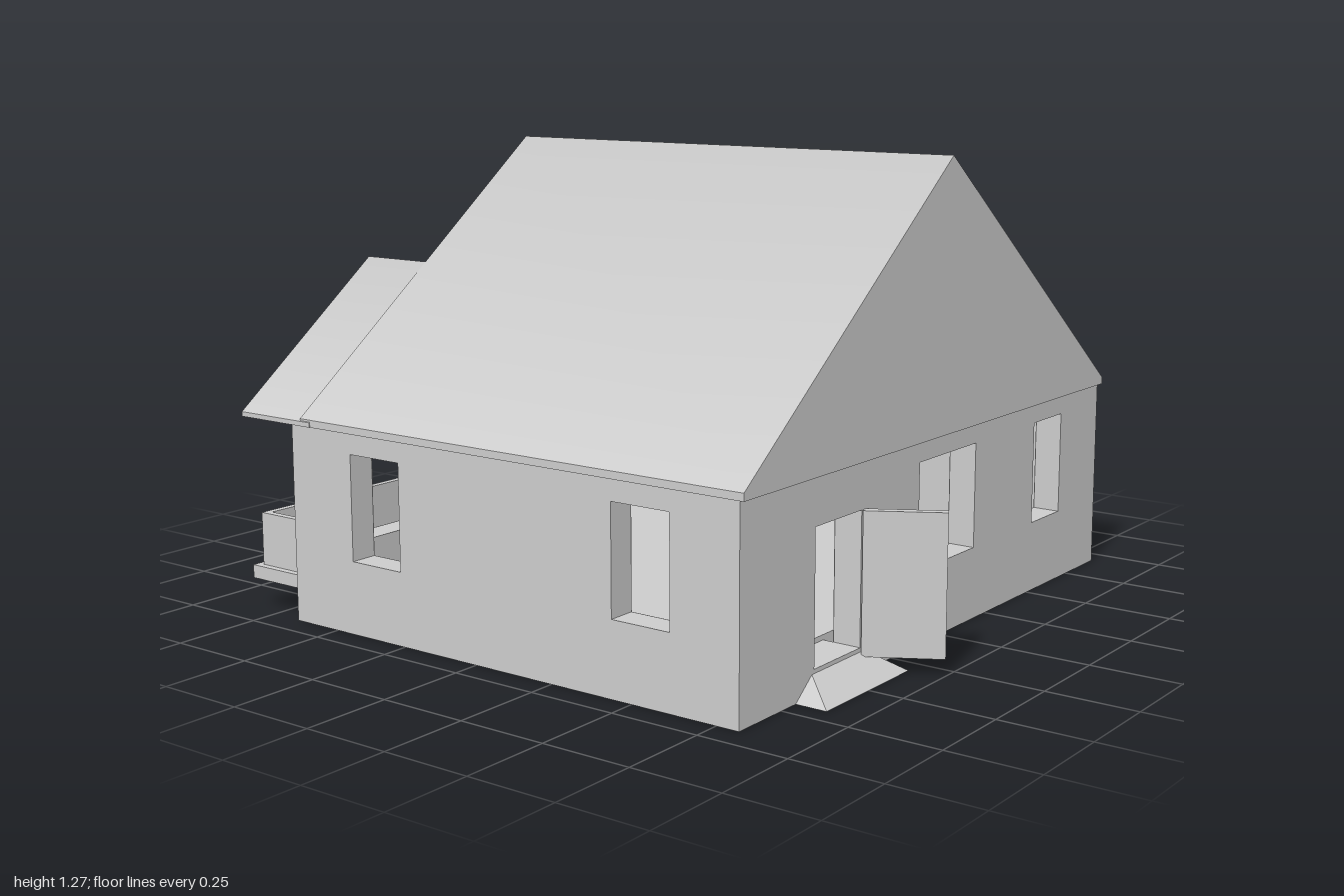
import * as THREE from 'three';
import { ConvexGeometry } from 'three/addons/geometries/ConvexGeometry.js';

const mat = new THREE.MeshStandardMaterial({ color: 0xcccccc, flatShading: true });
const smooth = new THREE.MeshStandardMaterial({ color: 0xcccccc });
const thin = new THREE.MeshStandardMaterial({ color: 0xcccccc, flatShading: true, side: THREE.DoubleSide });

const WALL_H = 0.545, T = 0.08; // wall height and thickness
const X = 0.925, FRONT = 0.815, BACK = -0.653;

function add(parent, name, geometry, material = mat) {
  const mesh = new THREE.Mesh(geometry, material);
  mesh.name = name;
  parent.add(mesh);
  return mesh;
}

// Box given by its extents
function box(parent, name, x0, x1, y0, y1, z0, z1) {
  const mesh = add(parent, name, new THREE.BoxGeometry(x1 - x0, y1 - y0, z1 - z0));
  mesh.position.set((x0 + x1) / 2, (y0 + y1) / 2, (z0 + z1) / 2);
}

const hull = (points) => new ConvexGeometry(points.map((p) => new THREE.Vector3(...p)));

// Open shell joining rows of points
function loft(rows) {
  const n = rows[0].length, index = [];
  for (let r = 0; r < rows.length - 1; r++) {
    for (let i = 0; i < n - 1; i++) {
      const a = r * n + i, b = a + n;
      index.push(a, b, a + 1, a + 1, b, b + 1);
    }
  }
  const g = new THREE.BufferGeometry();
  g.setAttribute('position', new THREE.Float32BufferAttribute(rows.flat(2), 3));
  g.setIndex(index);
  g.computeVertexNormals();
  return g;
}

// Cavity wall: two skins with openings, full-height jambs, sills and lintels.
// Local z = 0 is the outer face; each opening is [u0, u1, y0, y1], y0 = 0 for a door.
function wall(parent, name, length, openings) {
  const g = new THREE.Group();
  g.name = name;
  const skin = (half, z, label) => {
    const s = new THREE.Shape();
    s.moveTo(-half, 0);
    for (const [a, b, c, d] of openings) {
      if (c === 0) {
        s.lineTo(a, 0).lineTo(a, d).lineTo(b, d).lineTo(b, 0);
      } else {
        const h = new THREE.Path();
        h.moveTo(a, c).lineTo(a, d).lineTo(b, d).lineTo(b, c).closePath();
        s.holes.push(h);
      }
    }
    s.lineTo(half, 0).lineTo(half, WALL_H).lineTo(-half, WALL_H).closePath();
    add(g, label, new THREE.ShapeGeometry(s), thin).position.z = z;
  };
  skin(length / 2, 0, 'outerSkin');
  skin(length / 2 - T, -T, 'innerSkin');
  const e = 0.006, z0 = -T + 0.001, z1 = -0.001;
  for (const [a, b, c, d] of openings) {
    box(g, 'jamb', a - e, a, 0, WALL_H, z0, z1);
    box(g, 'jamb', b, b + e, 0, WALL_H, z0, z1);
    if (c > 0) box(g, 'sill', a, b, c - e, c, z0, z1);
    box(g, 'lintel', a, b, d, d + e, z0, z1);
  }
  parent.add(g);
  return g;
}

// Gabled roof: flat ends, eaves and underside, with slopes softly shaded over the ridge
function gable(parent, name, x0, x1, eave, peak, z0, z1) {
  const g = new THREE.Group();
  g.name = name;
  const xm = (x0 + x1) / 2;
  const s = new THREE.Shape();
  s.moveTo(x0, WALL_H).lineTo(x1, WALL_H).lineTo(x1, eave).lineTo(xm, peak).lineTo(x0, eave).closePath();
  add(g, 'gableFront', new THREE.ShapeGeometry(s)).position.z = z1;
  const rear = add(g, 'gableRear', new THREE.ShapeGeometry(s));
  rear.position.set(2 * xm, 0, z0);
  rear.rotation.y = Math.PI;
  box(g, 'eaveSlab', x0, x1, WALL_H, eave, z0, z1);
  const row = (z) => [[x0, eave, z], [xm, peak, z], [x1, eave, z]];
  const slopes = loft([row(z0), row(z1)]);
  for (const ridge of [1, 4]) slopes.attributes.normal.setXYZ(ridge, 0, 1, 0);
  add(g, 'slopes', slopes, smooth);
  parent.add(g);
}

export function createModel() {
  const house = new THREE.Group();
  house.name = 'house';
  const lo = 0.2, hi = 0.49; // window sill and head

  // Walls
  wall(house, 'frontWall', 2 * X, [
    [-0.61, -0.4, 0, 0.42], [-0.12, 0.18, lo, hi], [0.52, 0.69, lo, hi],
  ]).position.z = FRONT;
  const back = wall(house, 'backWall', 2 * X, [
    [-0.59, -0.29, lo, hi], [0.04, 0.31, 0, 0.5], [0.49, 0.72, lo, hi],
  ]);
  back.position.z = BACK;
  back.rotation.y = Math.PI;
  const mid = (FRONT + BACK) / 2;
  for (const side of [1, -1]) {
    const openings = [[0.44, 0.615], [-0.435, -0.26]].map(([a, b]) => {
      const u = [-side * (a - mid), -side * (b - mid)].sort((p, q) => p - q);
      return [...u, lo, hi];
    });
    const w = wall(house, side > 0 ? 'leftWall' : 'rightWall', FRONT - BACK, openings);
    w.position.set(side * X, 0, mid);
    w.rotation.y = side * Math.PI / 2;
  }

  // Floor slab and door thresholds
  const inset = 0.11;
  box(house, 'floor', -X + inset, X - inset, 0.012, 0.08, BACK + inset, FRONT - inset);
  box(house, 'frontThreshold', -0.61, -0.4, 0.035, 0.066, FRONT - inset, FRONT);
  box(house, 'backThreshold', -0.31, -0.04, 0.085, 0.122, BACK, BACK + inset);

  // Roofs
  gable(house, 'mainRoof', -0.928, 0.928, 0.565, 1.272, -0.617, 0.828);
  gable(house, 'porchRoof', -0.93, 0.06, 0.558, 0.938, -0.845, -0.58);

  // Hipped awning over the back window, with a recessed soffit
  const rim = (y) => [[0.16, y, -0.615], [0.16, y, -0.8], [0.74, y, -0.8], [0.74, y, -0.615]];
  const l = [0.28, 0.66, -0.615], r = [0.61, 0.66, -0.615];
  add(house, 'awning', loft([rim(WALL_H), rim(0.58), [l, l, r, r]]), thin);
  box(house, 'awningSoffit', 0.161, 0.739, 0.565, 0.575, -0.799, -0.617);

  // Front door, standing open, and its ramp
  const hinge = new THREE.Group();
  hinge.name = 'frontDoor';
  hinge.position.set(-0.395, 0, FRONT);
  hinge.rotation.y = -Math.atan2(0.18, 0.105);
  box(hinge, 'doorLeaf', 0, 0.21, 0.045, 0.42, -0.012, 0.012);
  house.add(hinge);
  add(house, 'frontRamp', hull([
    [-0.69, 0, 0.903], [-0.31, 0, 0.903], [-0.69, 0, FRONT], [-0.31, 0, FRONT],
    [-0.62, 0.055, FRONT], [-0.38, 0.055, FRONT],
  ]));

  // Porch deck, railings and open door
  box(house, 'porchDeck', -0.91, -0.04, 0.085, 0.122, -0.845, BACK);
  box(house, 'backRail', -0.89, -0.335, 0.122, 0.27, -0.825, -0.805);
  box(house, 'sideRail', -0.89, -0.87, 0.122, 0.27, -0.805, BACK);
  box(house, 'stepRail', -0.046, -0.026, 0.122, 0.27, -0.825, BACK);
  box(house, 'backDoor', -0.333, -0.31, 0.122, 0.5, -0.845, BACK);

  // Back ramp with a short landing, open underneath
  const a = [-0.315, 0.125, -0.845], b = [-0.045, 0.125, -0.845];
  add(house, 'backRamp', loft([
    [[-0.4, 0, -0.845], [-0.4, 0, -1], [0.03, 0, -1], [0.03, 0, -0.845]],
    [a, [-0.315, 0.11, -0.89], [-0.045, 0.11, -0.89], b],
    [a, a, b, b],
  ]));
  return house;
}
